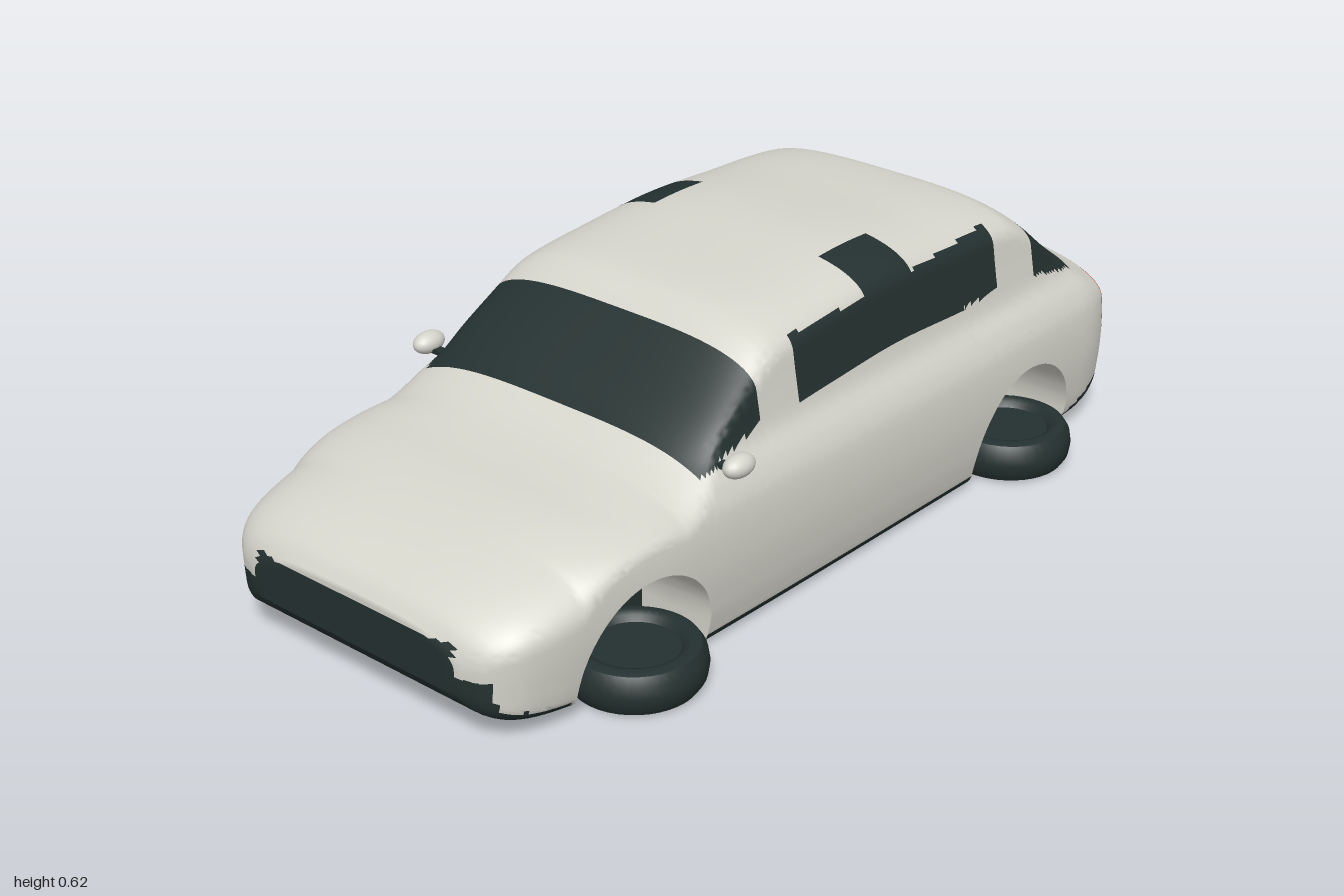
import * as THREE from 'three';
import { toCreasedNormals } from 'three/addons/utils/BufferGeometryUtils.js';

const material = (name, color) => Object.assign(new THREE.MeshStandardMaterial({ color }), { name });
const paint = material('pale body paint', 0xd6d5cc);
const dark = material('dark glass and rubber', 0x243130);
const red = material('red lamp', 0xd8321f);

// Smooth curve through [position, value] points
function curve(pts) {
  const slope = pts.map((p, i) => {
    const a = pts[Math.max(i - 1, 0)], b = pts[Math.min(i + 1, pts.length - 1)];
    return (b[1] - a[1]) / (b[0] - a[0]);
  });
  return (x) => {
    let i = 0;
    while (i < pts.length - 2 && x > pts[i + 1][0]) i++;
    const h = pts[i + 1][0] - pts[i][0];
    const t = THREE.MathUtils.clamp((x - pts[i][0]) / h, 0, 1), t2 = t * t, t3 = t2 * t;
    return pts[i][1] * (2 * t3 - 3 * t2 + 1) + pts[i + 1][1] * (3 * t2 - 2 * t3)
      + h * (slope[i] * (t3 - 2 * t2 + t) + slope[i + 1] * (t3 - t2));
  };
}

// Body curves along z, and the half width by height
const topLine = curve([[-1, .34], [-.97, .375], [-.9, .41], [-.8, .48], [-.7, .565], [-.63, .6], [-.4, .617], [-.2, .626],
  [0, .613], [.15, .597], [.2, .58], [.25, .545], [.35, .47], [.43, .41], [.5, .378], [.6, .357], [.7, .345],
  [.8, .325], [.9, .293], [.97, .255], [1, .22]]);
const plan = curve([[-1, .33], [-.985, .375], [-.95, .41], [-.85, .43], [-.2, .436], [.5, .43], [.8, .413],
  [.9, .395], [.95, .37], [.985, .33], [1, .28]]);
const sideProfile = curve([[0, .405], [.04, .415], [.1, .427], [.2, .436], [.3, .43], [.35, .41], [.39, .383],
  [.45, .369], [.55, .353], [.64, .34]]);
const underLine = curve([[-1, .1], [-.95, .06], [-.87, .035], [-.8, .03]]);
const frontUnder = curve([[.8, .03], [.9, .045], [.95, .06], [.98, .08], [1, .11]]);
const crownDepth = curve([[-1, .1], [-.8, .07], [-.6, .08], [.2, .08], [.35, .06], [.5, .09], [.8, .11], [1, .07]]);
const ARCHES = [.62, -.625], ARCH_R = .18;
const archAt = (z) => ARCHES.find((c) => Math.abs(z - c) < ARCH_R);

function halfSection(z) {
  const top = topLine(z), c = archAt(z);
  let bottom = .005;
  if (c !== undefined) bottom = .06 + Math.sqrt(ARCH_R ** 2 - (z - c) ** 2);
  else if (z > .79) bottom = frontUnder(z);
  else if (z < -.79) bottom = underLine(z);
  const h = top - bottom;
  const crown = Math.min(crownDepth(z), h * .55);
  const sill = c !== undefined ? .001 : Math.min(.03, h * .25);
  const width = (y) => sideProfile(y) * plan(z) / .436;
  const pts = [];
  const inset = c !== undefined ? 1 : .93;
  for (let i = 0; i < 4; i++) pts.push([width(bottom) * inset * i / 4, bottom]);
  for (let i = 0; i < 5; i++) {
    const a = i / 5 * Math.PI / 2, y = bottom + sill * (1 - Math.cos(a));
    pts.push([width(y) * (inset + (1 - inset) * Math.sin(a)), y]);
  }
  for (let i = 0; i < 32; i++) {
    const y = bottom + sill + (h - sill - crown) * i / 32;
    pts.push([width(y), y]);
  }
  for (let i = 0; i <= 18; i++) {
    const a = i / 18 * Math.PI / 2, y = top - crown + crown * Math.sin(a) ** .85;
    pts.push([i === 18 ? 0 : width(y) * Math.cos(a) ** .6, y]);
  }
  return pts;
}

// Which colour covers a spot on the body: 0 paint, 1 dark, 2 red
function colourAt(x, y, z) {
  const ax = Math.abs(x);
  if (z > .24 && z < .43 && y > .37 + (.43 - z) * .25) return 1; // windscreen
  if (z < -.71 && z > -.86 && y > .42 + (z + .71) * .2) return 1; // rear window
  if (z < .12 && z > -.57 && ax > .3 && y > .42 - z * .02 && y < .555 - z * .03 && y < .572) return 1; // side windows
  if (z < -.12 && z > -.28 && ax > .225 && y > .5) return 1; // roof patches
  if (z < -.955 && ax > .34 && y > .215 && y < .35) return 2; // tail lamps
  if (z > .85 && y > .09 && y < (ax < .27 ? .21 : .15) && ax < .35) return 1; // grille
  if (archAt(z) !== undefined || ARCHES.some((c) => Math.abs(Math.abs(z - c) - ARCH_R) < .0005)) return 0;
  if (z > .79) return y < .045 + (z - .8) * .25 ? 1 : 0; // front underside
  if (z < -.79) return y < .045 + (-.8 - z) * .38 ? 1 : 0; // rear underside
  return y < .037 ? 1 : 0; // floor and sills
}

function bodyGeometry() {
  const zs = [];
  for (let i = -100; i <= 100; i++) zs.push(i / 100);
  zs.push(.995, .985, -.995, -.985);
  for (const c of ARCHES) for (const o of [.1801, .1799, .179, .177, .173]) zs.push(c - o, c + o);
  zs.sort((a, b) => a - b);
  const halves = zs.map(halfSection);
  const rings = halves.map((half, i) => [...half, ...half.slice(1, -1).reverse().map(([x, y]) => [-x, y])]
    .map(([x, y]) => new THREE.Vector3(x, y, zs[i])));
  const faces = [[], [], []];
  const quad = (a, b, c, d) => {
    const m = a.clone().add(b).add(c).add(d).multiplyScalar(.25);
    const list = faces[colourAt(m.x, m.y, m.z)];
    for (const t of [[a, b, c], [a, c, d]]) {
      if (new THREE.Triangle(...t).getArea() > 1e-10) t.forEach((p) => list.push(p.x, p.y, p.z));
    }
  };
  const n = rings[0].length;
  for (let i = 0; i < rings.length - 1; i++) {
    for (let j = 0; j < n; j++) {
      const k = (j + 1) % n;
      quad(rings[i][j], rings[i][k], rings[i + 1][k], rings[i + 1][j]);
    }
  }
  // Flat nose and tail
  for (const i of [0, rings.length - 1]) {
    const half = halves[i], cols = 20;
    const at = (j, s) => new THREE.Vector3(half[j][0] * (s / cols * 2 - 1), half[j][1], zs[i]);
    for (let j = 0; j < half.length - 1; j++) {
      for (let s = 0; s < cols; s++) {
        const q = [at(j, s), at(j, s + 1), at(j + 1, s + 1), at(j + 1, s)];
        quad(...(i ? q : q.reverse()));
      }
    }
  }
  const geometry = new THREE.BufferGeometry();
  geometry.setAttribute('position', new THREE.Float32BufferAttribute(faces.flat(), 3));
  let start = 0;
  faces.forEach((f, m) => { geometry.addGroup(start, f.length / 3, m); start += f.length / 3; });
  return toCreasedNormals(geometry, .7);
}

function add(parent, name, geometry, mat, x = 0, y = 0, z = 0) {
  const mesh = new THREE.Mesh(geometry, mat);
  mesh.name = name;
  mesh.position.set(x, y, z);
  parent.add(mesh);
  return mesh;
}

// Wheel lying flat, its spoked face upward
function makeWheel() {
  const wheel = new THREE.Group();
  const profile = [[0, -.03], [.09, -.03], [.098, -.042], [.112, -.047], [.13, -.042], [.141, -.025], [.145, 0],
    [.141, .025], [.13, .042], [.112, .047], [.1, .042], [.096, .02], [.096, .005], [0, .005]];
  const tyre = new THREE.LatheGeometry(profile.map(([r, y]) => new THREE.Vector2(r, y)), 40);
  add(wheel, 'tyre', toCreasedNormals(tyre, .7), dark);
  add(wheel, 'rim', new THREE.TorusGeometry(.094, .006, 8, 40).rotateX(Math.PI / 2), paint, 0, .036);
  add(wheel, 'hub', new THREE.CylinderGeometry(.02, .024, .03, 20), paint, 0, .02);
  for (let i = 0; i < 6; i++) {
    const spoke = new THREE.BoxGeometry(.078, .012, .015).translate(.054, .028, 0);
    add(wheel, 'spoke', spoke, paint).rotation.y = i * Math.PI / 3;
  }
  return wheel;
}

export function createModel() {
  const car = new THREE.Group();
  car.name = 'car';
  add(car, 'body', bodyGeometry(), [paint, dark, red]);

  for (const z of ARCHES) {
    add(car, 'axle floor', new THREE.BoxGeometry(.48, .1, .35), dark, 0, .081, z);
    for (const side of [-1, 1]) {
      const wheel = makeWheel();
      wheel.name = z > 0 ? 'frontWheel' : 'rearWheel';
      wheel.position.set(side * .38, .051, z);
      if (side > 0) wheel.rotation.z = Math.PI;
      car.add(wheel);
    }
  }
  for (const side of [-1, 1]) {
    add(car, 'mirror', new THREE.SphereGeometry(1, 20, 14).scale(.026, .024, .04), paint, side * .43, .392, .373);
    add(car, 'mirror arm', new THREE.BoxGeometry(.07, .01, .022), dark, side * .385, .38, .373);
    add(car, 'exhaust pipe', new THREE.CapsuleGeometry(.018, .028, 6, 14), paint, side * .2, .082, -.968);
  }
  return car;
}
